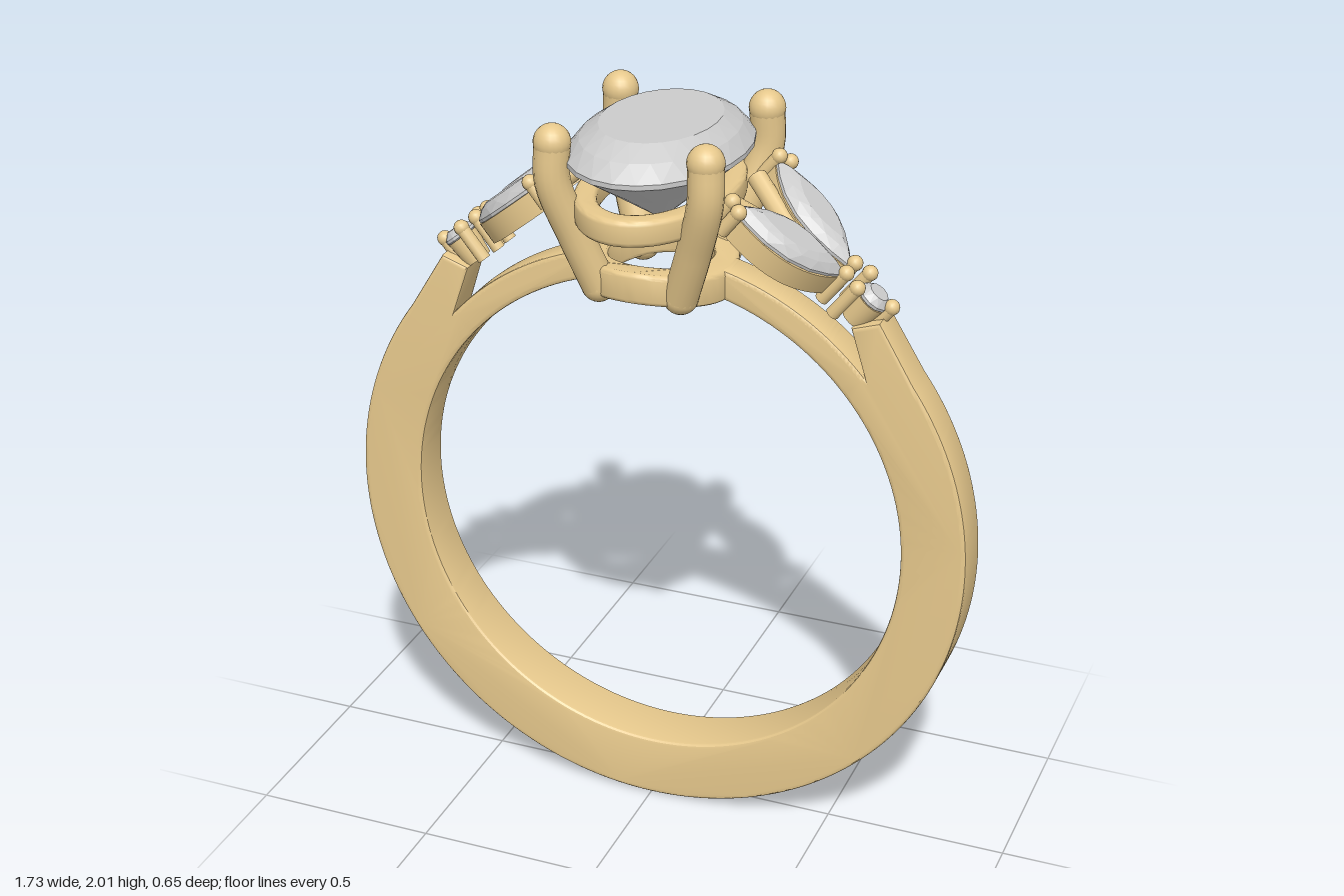
import * as THREE from 'three';
import { toCreasedNormals } from 'three/addons/utils/BufferGeometryUtils.js';

const gold = new THREE.MeshStandardMaterial({ color: 0xe6c88c });
const stone = new THREE.MeshStandardMaterial({ color: 0xcccccc, flatShading: true });
const rad = THREE.MathUtils.degToRad;

function add(parent, name, geometry, material = gold) {
  const mesh = new THREE.Mesh(geometry, material);
  mesh.name = name;
  parent.add(mesh);
  return mesh;
}

// Outlines as functions of the angle
const oval = (a, b) => t => [a * Math.cos(t), b * Math.sin(t)];
const marquise = (a, b) => t => [a * Math.cos(t), b * Math.sin(t) * Math.abs(Math.sin(t))];

// Faceted stone: rings of [scale, y, angular shift in steps] from culet to table
function gem(outline, n, rings) {
  const pos = [];
  const point = ([s, y, shift], i) => {
    const [x, z] = outline((i + shift) / n * Math.PI * 2);
    return [x * s, y, z * s];
  };
  for (let r = 0; r < rings.length - 1; r++) {
    const low = rings[r], up = rings[r + 1];
    for (let i = 0; i < n; i++) {
      if (low[0] > 0) pos.push(...point(low, i), ...point(up, i), ...point(low, i + 1));
      if (up[0] > 0) pos.push(...point(up, i), ...point(up, i + 1), ...point(low, i + 1));
    }
  }
  const g = new THREE.BufferGeometry();
  g.setAttribute('position', new THREE.Float32BufferAttribute(pos, 3));
  g.computeVertexNormals();
  return g;
}

// Flat ring between two outlines, lying in xz from y0 to y1
function band(outer, inner, y0, y1, bevel) {
  const pts = f => Array.from({ length: 64 }, (_, i) => new THREE.Vector2(...f(i / 64 * Math.PI * 2)));
  const shape = new THREE.Shape(pts(outer));
  shape.holes.push(new THREE.Path(pts(inner)));
  const g = new THREE.ExtrudeGeometry(shape, {
    depth: y1 - y0 - 2 * bevel, bevelEnabled: bevel > 0, bevelSize: bevel,
    bevelThickness: bevel, bevelOffset: -bevel, bevelSegments: 3
  });
  return g.rotateX(-Math.PI / 2).translate(0, y0 + bevel, 0);
}

// Split shank, narrowing in z towards the top
function shankGeometry() {
  const c = 0.86, s = new THREE.Shape();
  s.moveTo(0.53, 1.5);
  s.lineTo(0.605, 1.525);
  s.absarc(0, c, 0.865, rad(36), rad(-216), true);
  s.lineTo(-0.605, 1.525);
  s.lineTo(-0.53, 1.5);
  s.absarc(0, c, 0.766, rad(138.5), rad(103), true);
  s.absarc(0, c, 0.69, rad(103), rad(437), false);
  s.absarc(0, c, 0.766, rad(77), rad(41.5), true);
  const g = new THREE.ExtrudeGeometry(s, {
    depth: 1.7, bevelEnabled: true, bevelThickness: 0.15, bevelSize: 0.012,
    bevelOffset: -0.012, bevelSegments: 3, curveSegments: 80
  }).translate(0, 0, -0.85);
  const p = g.attributes.position;
  for (let i = 0; i < p.count; i++) p.setZ(i, p.getZ(i) * (0.085 - 0.0213 * p.getY(i)));
  return toCreasedNormals(g, 0.5);
}

// Small post with a bead on top
function bead(parent, x, z, depth = 0.1) {
  const post = new THREE.Group();
  post.name = 'beadPost';
  add(post, 'post', new THREE.CylinderGeometry(0.018, 0.018, depth, 12)).position.y = 0.012 - depth / 2;
  add(post, 'bead', new THREE.SphereGeometry(0.021, 14, 10)).position.y = 0.014;
  post.position.set(x, 0, z);
  parent.add(post);
}

// Two marquise stones and a small round one; local x runs down the slope
function sideCluster() {
  const g = new THREE.Group();
  for (const m of [1, -1]) {
    const leaf = new THREE.Group();
    leaf.name = 'marquiseSetting';
    add(leaf, 'marquiseStone', gem(marquise(0.175, 0.076), 16,
      [[0, -0.06, 0], [1, -0.004, 0], [1, 0.004, 0], [0.8, 0.022, 0.5], [0.58, 0.032, 1], [0, 0.032, 1]]), stone);
    add(leaf, 'marquiseFrame',
      toCreasedNormals(band(marquise(0.178, 0.08), marquise(0.135, 0.052), -0.066, -0.005, 0), 0.6));
    leaf.position.set(0, 0, 0.098 * m);
    leaf.rotation.y = 0.42 * m;
    g.add(leaf);
    bead(g, -0.165, 0.172 * m, 0.07);
    bead(g, -0.135, 0.192 * m, 0.07);
    bead(g, 0.16, 0.035 * m);
    bead(g, 0.205, 0.052 * m);
    // Strut from the frames to the upper gallery
    const strut = new THREE.LineCurve3(new THREE.Vector3(0.0, -0.035, 0.01 * m), new THREE.Vector3(-0.17, -0.035, 0.1 * m));
    add(g, 'strut', new THREE.TubeGeometry(strut, 1, 0.026, 10));
  }
  add(g, 'smallStone', gem(oval(0.045, 0.045), 12,
    [[0, -0.04, 0], [1, -0.004, 0], [1, 0.004, 0], [0.62, 0.022, 0.5], [0, 0.022, 0.5]]), stone).position.x = 0.253;
  add(g, 'smallStoneCup', new THREE.CylinderGeometry(0.044, 0.036, 0.075, 24)).position.set(0.253, -0.045, 0);
  bead(g, 0.302, 0, 0.07);
  return g;
}

export function createModel() {
  const ring = new THREE.Group();
  ring.name = 'ring';
  add(ring, 'shank', shankGeometry());

  // Lower gallery, bent to follow the finger hole
  const base = band(oval(0.2, 0.212), oval(0.135, 0.145), 1.545, 1.628, 0.012);
  const p = base.attributes.position;
  for (let i = 0; i < p.count; i++) p.setY(i, p.getY(i) + Math.sqrt(0.53 - p.getX(i) ** 2) - Math.sqrt(0.53));
  add(ring, 'lowerGallery', toCreasedNormals(base, 0.6));
  add(ring, 'upperGallery', toCreasedNormals(band(oval(0.2, 0.322), oval(0.14, 0.26), 1.74, 1.81, 0.014), 0.6));

  // Oval centre stone
  add(ring, 'centreStone', gem(oval(0.225, 0.324), 24, [
    [0, 1.7, 0], [0.55, 1.808, 0.5], [1, 1.893, 1], [1, 1.906, 1],
    [0.86, 1.945, 1.5], [0.66, 1.976, 2], [0, 1.976, 2]]), stone);

  // Four prongs
  for (const sx of [1, -1]) for (const sz of [1, -1]) {
    const path = new THREE.CatmullRomCurve3(
      [[0.112, 1.56, 0.15], [0.16, 1.7, 0.185], [0.203, 1.85, 0.222], [0.203, 1.952, 0.22]]
        .map(([x, y, z]) => new THREE.Vector3(x * sx, y, z * sz)));
    const prong = new THREE.Group();
    prong.name = 'prong';
    add(prong, 'prongStem', new THREE.TubeGeometry(path, 20, 0.046, 16));
    add(prong, 'prongTip', new THREE.SphereGeometry(0.048, 20, 14)).position.copy(path.getPoint(1));
    add(prong, 'prongFoot', new THREE.SphereGeometry(0.046, 20, 14)).position.copy(path.getPoint(0));
    ring.add(prong);
  }

  // Side clusters, the right one turned half around
  for (const turn of [0, Math.PI]) {
    const side = new THREE.Group();
    side.name = turn ? 'rightCluster' : 'leftCluster';
    const cluster = sideCluster();
    cluster.name = 'slopedCluster';
    cluster.position.set(0.375, 1.73, 0);
    cluster.rotation.z = -0.675;
    side.rotation.y = turn;
    side.add(cluster);
    ring.add(side);
  }
  return ring;
}
